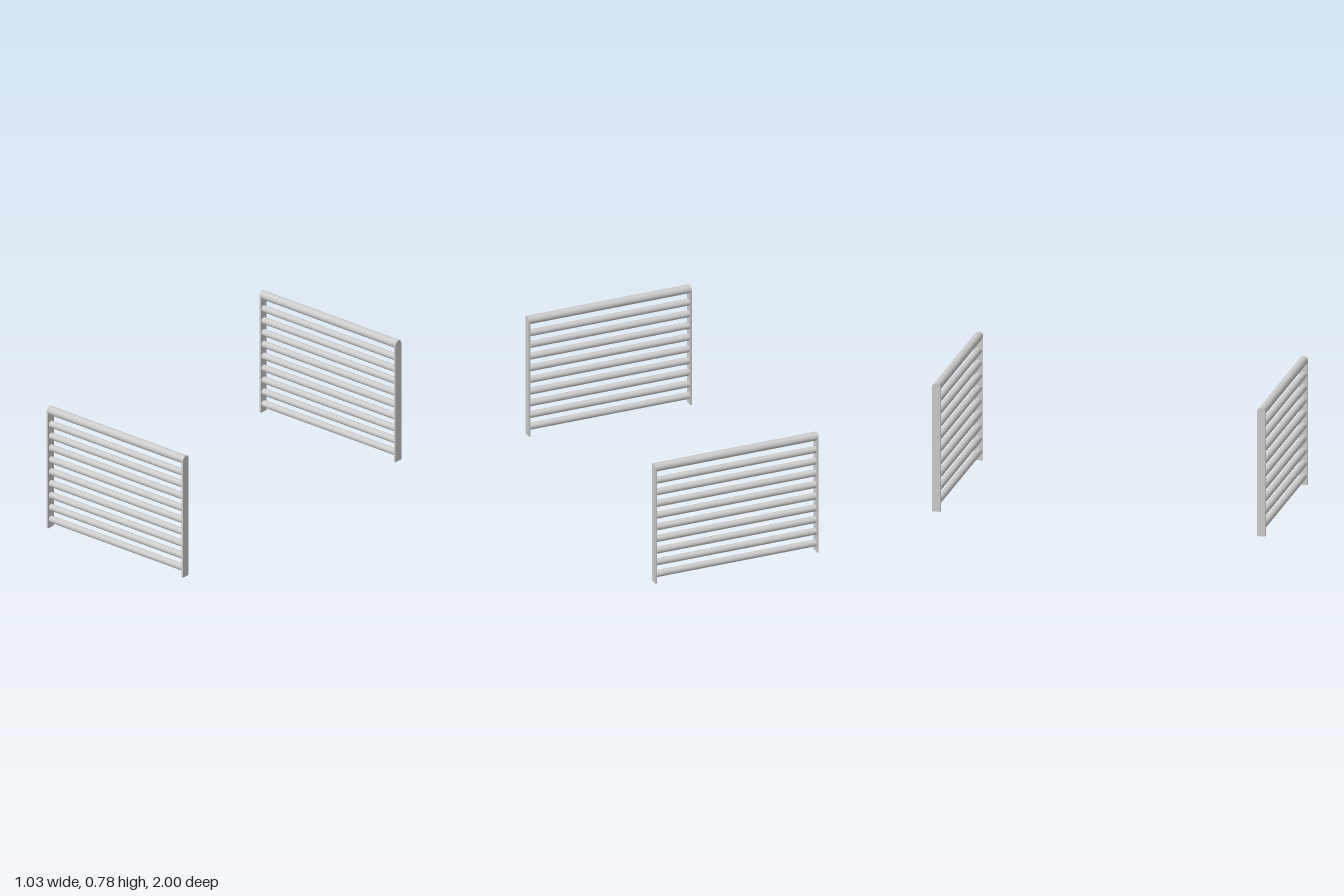
import * as THREE from 'three';

const RAIL_R = 0.026, RAIL_Y = 0.757, RUNG_R = 0.0205;
const INNER_X = 0.502, POST_T = 0.011, PANEL_Z = 1 - RAIL_R;

export function createModel() {
  const model = new THREE.Group();
  model.name = 'barredEndPanels';
  const material = new THREE.MeshStandardMaterial({ color: 0xcccccc });

  // Flat upright with a half-round top, drawn in (z, y) and extruded along x
  const outline = new THREE.Shape();
  outline.moveTo(-RAIL_R, 0);
  outline.lineTo(RAIL_R, 0);
  outline.lineTo(RAIL_R, RAIL_Y);
  outline.absarc(0, RAIL_Y, RAIL_R, 0, Math.PI, false);
  outline.closePath();
  const postGeometry = new THREE.ExtrudeGeometry(outline, {
    depth: POST_T, bevelEnabled: false, curveSegments: 24,
  });
  postGeometry.translate(0, 0, -POST_T / 2).rotateY(Math.PI / 2);

  // Horizontal round bars between the uprights
  const bar = (radius) =>
    new THREE.CylinderGeometry(radius, radius, 2 * INNER_X, 32).rotateZ(Math.PI / 2);
  const railGeometry = bar(RAIL_R);
  const rungGeometry = bar(RUNG_R);

  const add = (parent, name, geometry, x, y) => {
    const mesh = new THREE.Mesh(geometry, material);
    mesh.name = name;
    mesh.position.set(x, y, 0);
    parent.add(mesh);
  };

  // One identical panel at each end
  for (const side of [1, -1]) {
    const panel = new THREE.Group();
    panel.name = side > 0 ? 'frontPanel' : 'backPanel';
    panel.position.z = side * PANEL_Z;
    add(panel, 'leftPost', postGeometry, INNER_X + POST_T / 2, 0);
    add(panel, 'rightPost', postGeometry, -INNER_X - POST_T / 2, 0);
    add(panel, 'topRail', railGeometry, 0, RAIL_Y);
    for (let i = 0; i < 9; i++) {
      add(panel, `rung${i + 1}`, rungGeometry, 0, 0.052 + i * 0.0772);
    }
    model.add(panel);
  }
  return model;
}
